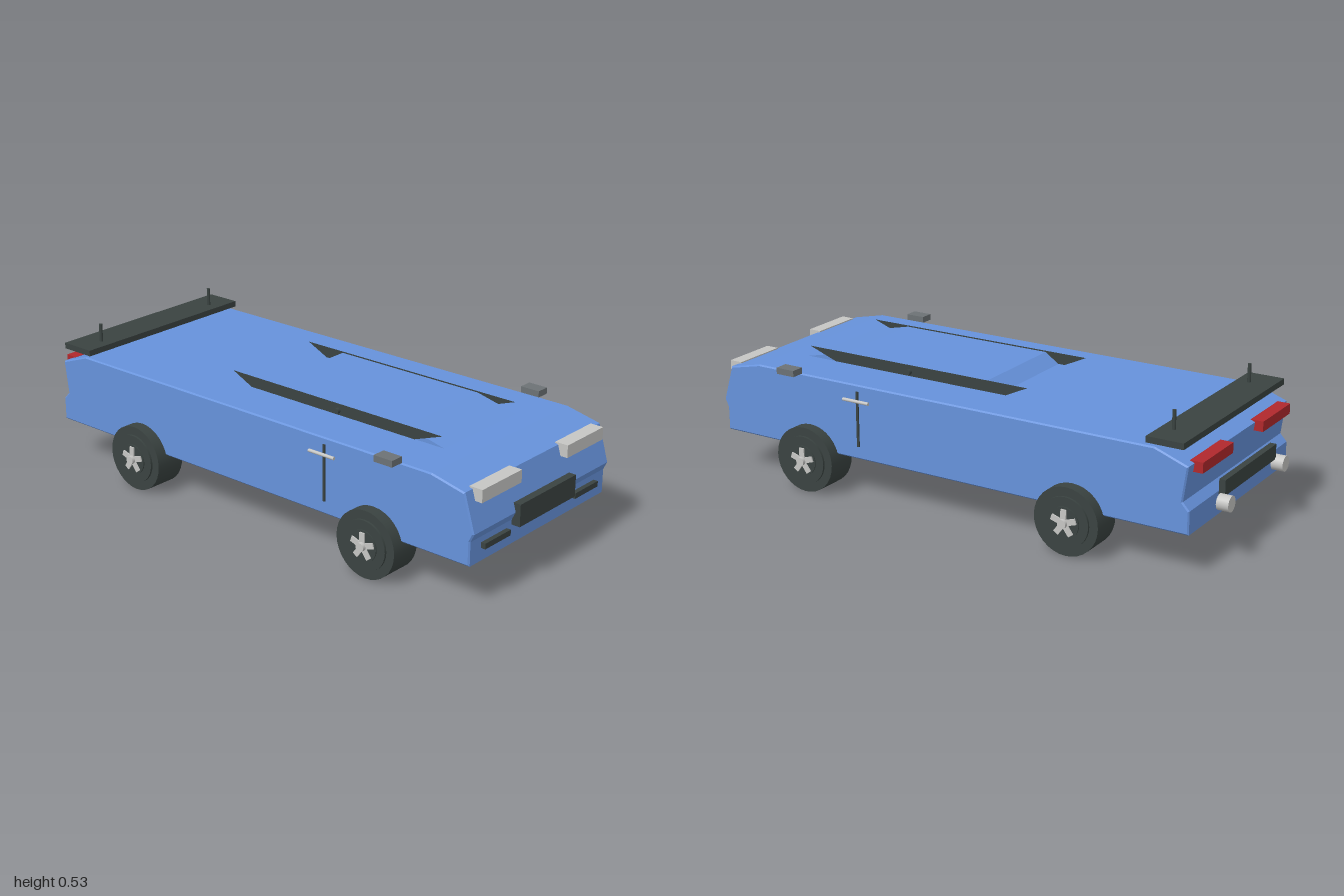
import * as THREE from 'three';

const mat = (name, color, extra = {}) => {
  const m = new THREE.MeshStandardMaterial({ color, ...extra });
  m.name = name;
  return m;
};

export function createModel() {
  const car = new THREE.Group();
  car.name = 'car';
  const blue = mat('body blue', 0x6692db);
  const dark = mat('dark trim', 0x3a4341, { side: THREE.DoubleSide });
  const silver = mat('light grey', 0xc6c6c4);
  const grey = mat('mid grey', 0x6c7275);
  const red = mat('tail light red', 0xb0282c);

  const add = (name, geo, material, parent = car) => {
    const m = new THREE.Mesh(geo, material);
    m.name = name;
    parent.add(m);
    return m;
  };
  // box given by its min and max on each axis
  const box = (name, material, [x0, x1], [y0, y1], [z0, z1]) => {
    const m = add(name, new THREE.BoxGeometry(x1 - x0, y1 - y0, z1 - z0), material);
    m.position.set((x0 + x1) / 2, (y0 + y1) / 2, (z0 + z1) / 2);
    return m;
  };
  // same box on both sides
  const pair = (name, material, [x0, x1], y, z) => {
    box(name + 'Left', material, [x0, x1], y, z);
    box(name + 'Right', material, [-x1, -x0], y, z);
  };
  // side outline of [z, y] points
  const outline = pts => new THREE.Shape(pts.map(([z, y]) => new THREE.Vector2(-z, y)));
  const slab = (pts, width, bevel) => {
    const depth = width - 2 * bevel;
    const g = new THREE.ExtrudeGeometry(outline(pts), {
      depth, bevelEnabled: bevel > 0, bevelSize: bevel, bevelThickness: bevel,
      bevelOffset: -bevel, bevelSegments: 1
    });
    return g.translate(0, 0, -depth / 2).rotateY(Math.PI / 2);
  };

  // body shell
  add('body', slab([
    [0.968, 0.152], [0.968, 0.238], [0.982, 0.267], [0.942, 0.4], [0.81, 0.429],
    [-0.8, 0.429], [-0.922, 0.385], [-0.905, 0.262], [-0.93, 0.235], [-0.93, 0.152]
  ], 0.768, 0.005), blue);

  // raised roof with thin side windows
  add('roof', slab([[0.74, 0.425], [0.56, 0.466], [-0.05, 0.466], [-0.11, 0.425]], 0.4, 0), blue);
  const windowPts = [[0.715, 0.47], [0.6, 0.429], [-0.13, 0.429], [-0.217, 0.47]];
  for (const s of [1, -1]) {
    const w = add('sideWindow', new THREE.ShapeGeometry(outline(windowPts)).rotateY(Math.PI / 2), dark);
    w.position.x = s * 0.202;
    const knob = add('roofKnob', new THREE.CylinderGeometry(0.01, 0.01, 0.018, 16).rotateZ(Math.PI / 2), dark);
    knob.position.set(s * 0.206, 0.445, 0.272);
  }

  // nose
  pair('headlight', silver, [0.13, 0.342], [0.362, 0.407], [0.93, 0.98]);
  box('grille', dark, [-0.158, 0.158], [0.22, 0.299], [0.965, 1]);
  pair('lowerVent', dark, [0.185, 0.322], [0.197, 0.217], [0.96, 0.985]);

  // tail
  pair('tailLight', red, [0.117, 0.34], [0.355, 0.392], [-0.952, -0.905]);
  box('rearBumper', dark, [-0.2, 0.2], [0.235, 0.29], [-0.968, -0.945]);
  for (const s of [1, -1]) {
    const pipe = add('exhaust', new THREE.CylinderGeometry(0.028, 0.028, 0.044, 20).rotateX(Math.PI / 2), silver);
    pipe.position.set(s * 0.215, 0.219, -0.978);
  }

  // spoiler
  box('spoiler', dark, [-0.387, 0.387], [0.44, 0.462], [-0.905, -0.77]);
  for (const s of [1, -1]) {
    const post = add('spoilerPost', new THREE.CylinderGeometry(0.0065, 0.0065, 0.102, 12), dark);
    post.position.set(s * 0.285, 0.478, -0.818);
  }

  // mirrors and doors
  pair('mirror', grey, [0.38, 0.43], [0.428, 0.451], [0.615, 0.69]);
  pair('doorSeam', dark, [0.382, 0.389], [0.2, 0.405], [0.364, 0.373]);
  for (const s of [1, -1]) {
    const handle = add('doorHandle', new THREE.CylinderGeometry(0.006, 0.006, 0.11, 12).rotateX(Math.PI / 2), silver);
    handle.position.set(s * 0.398, 0.373, 0.367);
  }

  // wheels
  const disc = (r, w) => new THREE.CylinderGeometry(r, r, w, 32).rotateZ(Math.PI / 2);
  for (const z of [0.581, -0.504]) for (const s of [1, -1]) {
    const wheel = new THREE.Group();
    wheel.name = 'wheel';
    wheel.position.set(s * 0.368, 0.122, z);
    add('tyre', disc(0.122, 0.118), dark, wheel);
    add('rim', disc(0.09, 0.134), dark, wheel);
    add('rimCap', disc(0.056, 0.142), dark, wheel);
    add('hub', disc(0.016, 0.176), silver, wheel);
    for (let i = 0; i < 5; i++) {
      const spoke = add('spoke', new THREE.BoxGeometry(0.152, 0.035, 0.021).translate(0, 0.031, 0), silver, wheel);
      spoke.rotation.x = i * Math.PI * 2 / 5;
    }
    car.add(wheel);
  }
  return car;
}
